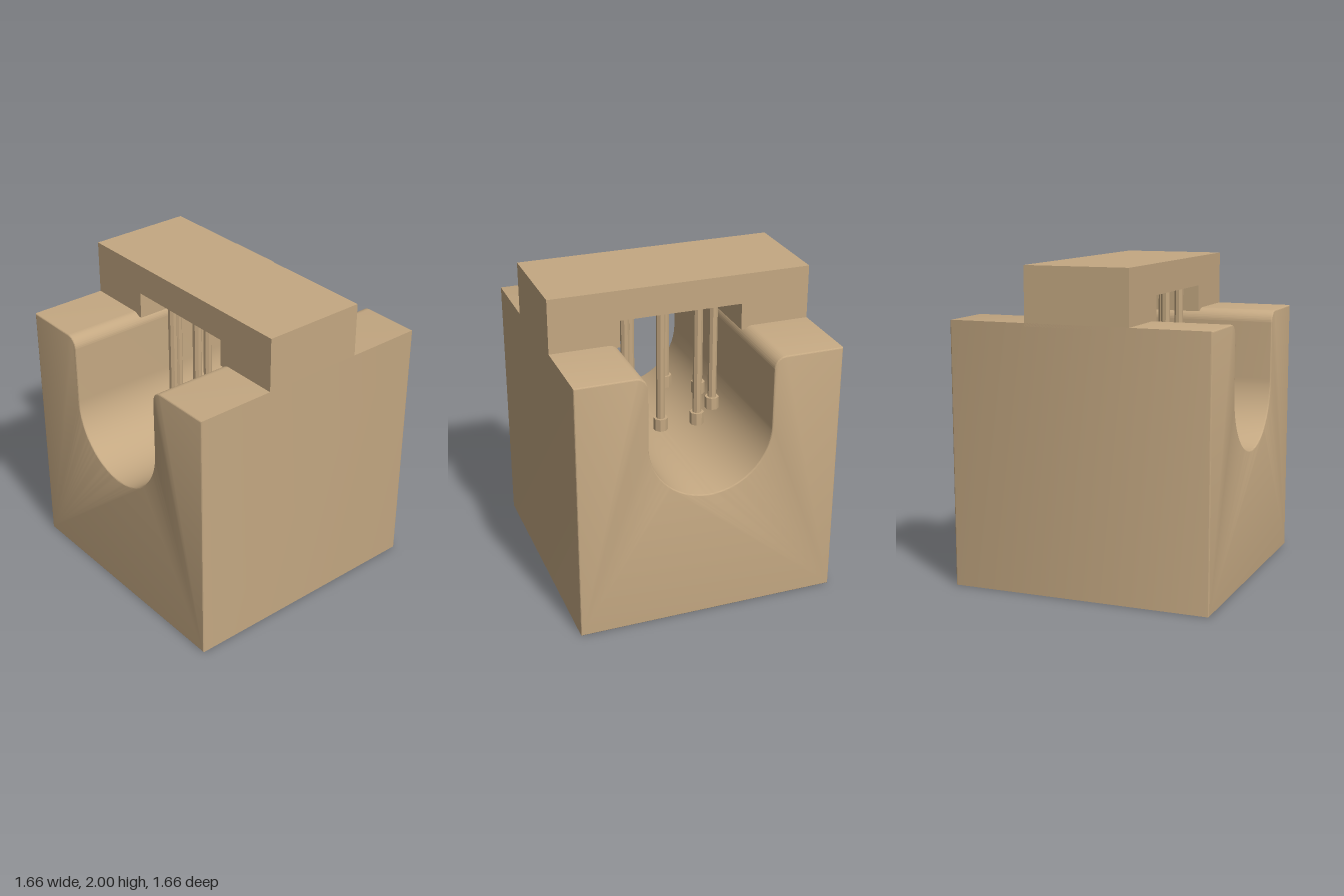
import * as THREE from 'three';
import { toCreasedNormals } from 'three/addons/utils/BufferGeometryUtils.js';

const HALF = 0.83;   // half width of the block
const SLOT = 0.39;   // half width and floor radius of the channel
const LIP = 0.075;   // rounding of the channel's upper edges

// Extrudes a side profile (z, y) along x, centred on x = 0
function extrudeAlongX(shape, width, bevel) {
  const depth = width - 2 * bevel;
  const geo = new THREE.ExtrudeGeometry(shape, {
    depth, curveSegments: 32, bevelEnabled: bevel > 0,
    bevelThickness: bevel, bevelSize: bevel, bevelOffset: -bevel, bevelSegments: 3,
  });
  geo.translate(0, 0, -depth / 2);
  geo.rotateY(-Math.PI / 2);
  return toCreasedNormals(geo, 0.6);
}

export function createModel() {
  const model = new THREE.Group();
  model.name = 'slottedBlock';
  const tan = new THREE.MeshStandardMaterial({ color: 0xc4a882 });
  tan.name = 'tan';

  const add = (parent, name, geo) => {
    const mesh = new THREE.Mesh(geo, tan);
    mesh.name = name;
    parent.add(mesh);
    return mesh;
  };

  // Block with a round-bottomed channel running side to side
  const top = 1.66, arcY = 1.22;
  const body = new THREE.Shape();
  body.moveTo(-HALF, 0);
  body.lineTo(HALF, 0);
  body.lineTo(HALF, top);
  body.lineTo(SLOT + LIP, top);
  body.absarc(SLOT + LIP, top - LIP, LIP, Math.PI / 2, Math.PI, false);
  body.lineTo(SLOT, arcY);
  body.absarc(0, arcY, SLOT, 0, -Math.PI, true);
  body.lineTo(-SLOT, top - LIP);
  body.absarc(-SLOT - LIP, top - LIP, LIP, 0, Math.PI / 2, false);
  body.lineTo(-HALF, top);
  body.closePath();
  add(model, 'block', extrudeAlongX(body, HALF * 2, 0.008));

  // Bridge across the channel, with a foot at each end
  const bridge = new THREE.Shape();
  [[-HALF, 1.64], [-SLOT, 1.64], [-SLOT, 1.81], [SLOT, 1.81],
    [SLOT, 1.64], [HALF, 1.64], [HALF, 2], [-HALF, 2]]
    .forEach(([z, y], i) => (i ? bridge.lineTo(z, y) : bridge.moveTo(z, y)));
  bridge.closePath();
  add(model, 'bridge', extrudeAlongX(bridge, 0.664, 0));

  // Ring of eight pins hanging from the bridge
  const shaftGeo = new THREE.CylinderGeometry(0.028, 0.028, 0.74, 8, 1, false, Math.PI / 8);
  const tipGeo = new THREE.CylinderGeometry(0.045, 0.045, 0.08, 8, 1, false, Math.PI / 8);
  const flat = (g) => toCreasedNormals(g, 0.3);
  const shaft = flat(shaftGeo), tip = flat(tipGeo);
  for (let i = 0; i < 8; i++) {
    const a = (i + 0.5) * Math.PI / 4;
    const pin = new THREE.Group();
    pin.name = 'pin' + (i + 1);
    pin.position.set(Math.cos(a) * 0.315, 0, Math.sin(a) * 0.315);
    add(pin, 'pinShaft', shaft).position.y = 1.45;
    add(pin, 'pinTip', tip).position.y = 1.07;
    model.add(pin);
  }
  return model;
}
